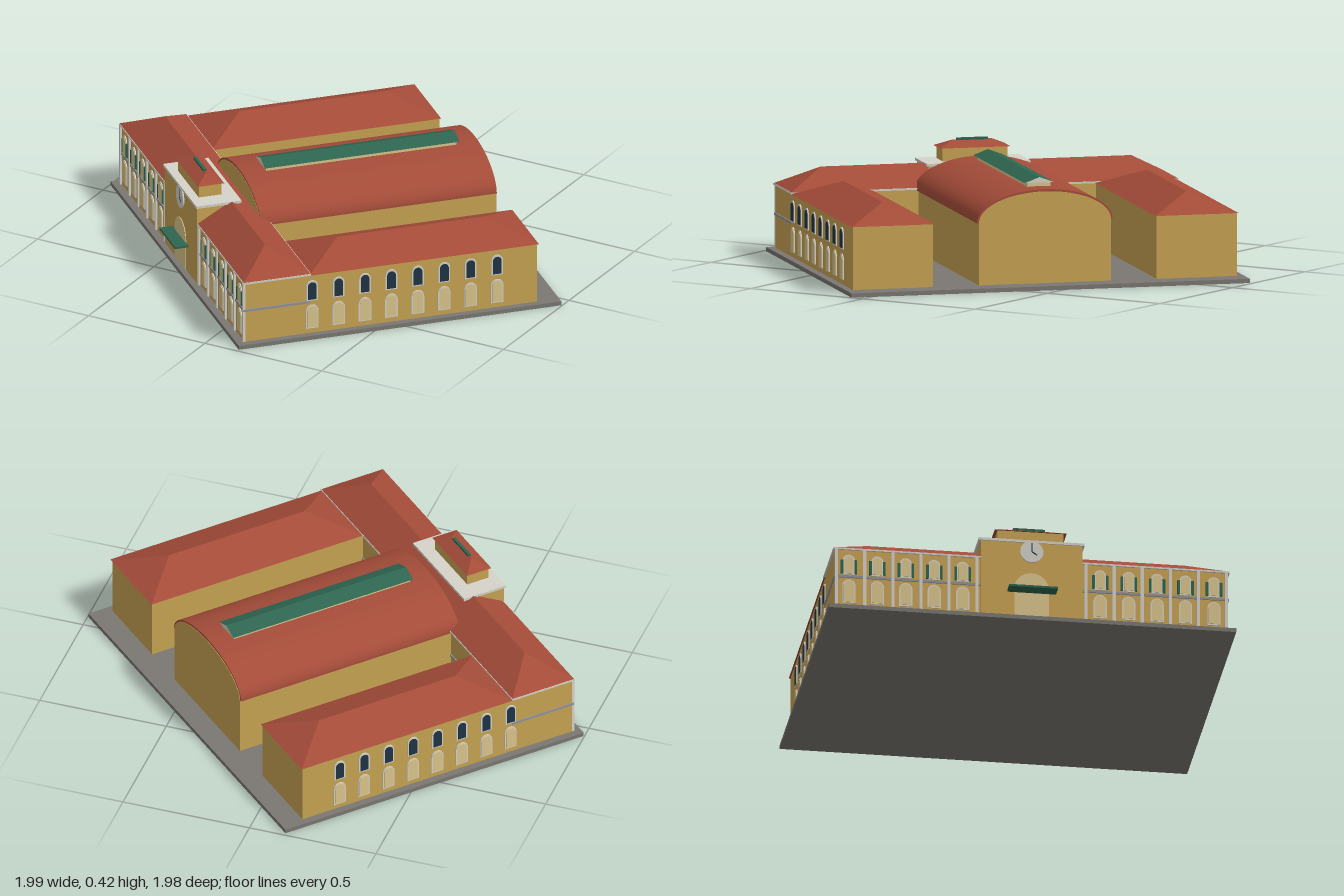
import * as THREE from 'three';

const mat = (name, color, side = THREE.FrontSide) => {
  const m = new THREE.MeshStandardMaterial({ color, side });
  m.name = name;
  return m;
};

export function createModel() {
  const M = {
    wall: mat('ochre wall', 0xc9a454),
    roof: mat('red tile', 0xa54c39),
    green: mat('green metal', 0x2e6650),
    paving: mat('grey paving', 0x7b7872),
    trim: mat('pale stone', 0xd6d3c9),
    cream: mat('cream panel', 0xdcc68c),
    glass: mat('dark glass', 0x1f3444),
    band: mat('grey band', 0x92939a),
  };
  const root = new THREE.Group();
  root.name = 'stationBuilding';
  const building = new THREE.Group();
  building.name = 'building';
  building.rotation.y = THREE.MathUtils.degToRad(-42.5); // stands diagonally on the axes
  root.add(building);

  const add = (name, geo, material, parent = building) => {
    const mesh = new THREE.Mesh(geo, material);
    mesh.name = name;
    parent.add(mesh);
    return mesh;
  };
  // box given by its min and max on each axis
  const box = (name, material, x0, x1, y0, y1, z0, z1, parent) => {
    const mesh = add(name, new THREE.BoxGeometry(x1 - x0, y1 - y0, z1 - z0), material, parent);
    mesh.position.set((x0 + x1) / 2, (y0 + y1) / 2, (z0 + z1) / 2);
    return mesh;
  };
  // hipped roof, ridge along x, half sizes w and d, half ridge r
  const hipGeo = (w, d, h, r) => {
    const p = [[-w, 0, -d], [w, 0, -d], [w, 0, d], [-w, 0, d], [-r, h, 0], [r, h, 0]];
    const faces = [3, 2, 5, 3, 5, 4, 2, 1, 5, 1, 0, 4, 1, 4, 5, 0, 3, 4, 0, 1, 2, 0, 2, 3];
    const g = new THREE.BufferGeometry();
    g.setAttribute('position', new THREE.Float32BufferAttribute(faces.flatMap((i) => p[i]), 3));
    g.computeVertexNormals();
    return g;
  };
  const hip = (name, w, d, h, r, x, y, z, turn = 0) => {
    const mesh = add(name, hipGeo(w, d, h, r), M.roof);
    mesh.position.set(x, y, z);
    mesh.rotation.y = turn;
    return mesh;
  };
  // flat plate with a round head, bottom at y = 0
  const archGeo = (w, h, depth) => {
    const s = new THREE.Shape();
    s.moveTo(-w, 0);
    s.lineTo(w, 0);
    s.lineTo(w, h - w);
    s.absarc(0, h - w, w, 0, Math.PI, false);
    s.closePath();
    return new THREE.ExtrudeGeometry(s, { depth, bevelEnabled: false, curveSegments: 6 });
  };

  // ground slab
  box('groundSlab', M.paving, -0.77, 0.77, 0, 0.016, -0.635, 0.635);

  // front range
  box('frontRangeWalls', M.wall, -0.742, 0.742, 0.016, 0.26, 0.35, 0.603);
  box('frontRangeCornice', M.trim, -0.749, 0.749, 0.254, 0.261, 0.343, 0.609);
  box('stringCourse', M.band, -0.746, 0.746, 0.14, 0.149, 0.346, 0.607);
  hip('frontRangeRoof', 0.747, 0.131, 0.075, 0.6, 0, 0.261, 0.476);

  // side wings
  for (const s of [-1, 1]) {
    const c = s * 0.587;
    box('wingWalls', M.wall, c - 0.155, c + 0.155, 0.016, 0.255, -0.548, 0.36);
    hip('wingRoof', 0.452, 0.161, 0.067, 0.29, c, 0.254, -0.102, Math.PI / 2);
  }

  // central hall with barrel roof
  const hallShape = new THREE.Shape();
  hallShape.moveTo(-0.255, 0.016);
  hallShape.lineTo(0.255, 0.016);
  hallShape.lineTo(0.255, 0.25);
  hallShape.absellipse(0, 0.25, 0.255, 0.112, 0, Math.PI, false);
  hallShape.closePath();
  add('hallWalls', new THREE.ExtrudeGeometry(hallShape, { depth: 0.932, bevelEnabled: false, curveSegments: 28 }), M.wall)
    .position.z = -0.549;
  const shell = new THREE.Shape();
  shell.moveTo(0.262, 0.25);
  shell.absellipse(0, 0.25, 0.262, 0.12, 0, Math.PI, false);
  shell.lineTo(-0.252, 0.25);
  shell.absellipse(0, 0.25, 0.252, 0.11, Math.PI, 0, true);
  shell.closePath();
  add('hallBarrelRoof', new THREE.ExtrudeGeometry(shell, { depth: 0.929, bevelEnabled: false, curveSegments: 28 }), M.roof)
    .position.z = -0.547;

  // ridge skylight on the hall
  box('skylightSides', M.cream, -0.045, 0.045, 0.355, 0.386, -0.46, 0.29);
  const gable = new THREE.Shape([
    new THREE.Vector2(-0.057, 0.384), new THREE.Vector2(0.057, 0.384), new THREE.Vector2(0, 0.405),
  ]);
  add('skylightRoof', new THREE.ExtrudeGeometry(gable, { depth: 0.766, bevelEnabled: false }), [M.trim, M.green])
    .position.z = -0.468;

  // entrance tower
  box('towerWalls', M.wall, -0.192, 0.192, 0.016, 0.327, 0.443, 0.611);
  box('towerCornice', M.trim, -0.2, 0.2, 0.326, 0.336, 0.437, 0.615);
  box('towerAttic', M.wall, -0.125, 0.125, 0.336, 0.386, 0.491, 0.581);
  hip('towerRoof', 0.136, 0.052, 0.026, 0.075, 0, 0.385, 0.536);
  box('towerRidgeVent', M.green, -0.06, 0.06, 0.4, 0.417, 0.53, 0.542);

  // entrance
  box('doorPanel', M.cream, -0.065, 0.065, 0.018, 0.118, 0.611, 0.614);
  const fan = add('fanlight', archGeo(0.066, 0.073, 0.003), M.cream);
  fan.position.set(0, 0.128, 0.611);
  box('canopy', M.green, -0.092, 0.092, 0.12, 0.128, 0.611, 0.664);

  // clock
  const face = add('clockFace', new THREE.CylinderGeometry(0.044, 0.044, 0.005, 28), M.trim);
  face.rotation.x = Math.PI / 2;
  face.position.set(0, 0.289, 0.6135);
  for (const [len, angle] of [[0.034, 0], [0.024, -2.2]]) {
    const hand = add('clockHand', new THREE.BoxGeometry(0.004, len, 0.002).translate(0, len / 2, 0), M.glass);
    hand.position.set(0, 0.289, 0.617);
    hand.rotation.z = angle;
  }

  // a round-headed window: surround with a pane in front
  const frameUp = archGeo(0.023, 0.082, 0.004);
  const paneUp = archGeo(0.017, 0.07, 0.003);
  const frameLow = archGeo(0.025, 0.096, 0.004);
  const paneLow = archGeo(0.02, 0.086, 0.003);
  const windowAt = (name, upper, pane, x, y, z, turn) => {
    const g = new THREE.Group();
    g.name = name;
    g.position.set(x, y, z);
    g.rotation.y = turn;
    add('surround', upper ? frameUp : frameLow, M.trim, g);
    add('pane', upper ? paneUp : paneLow, pane, g).position.set(0, 0.005, 0.003);
    building.add(g);
    return g;
  };

  for (const s of [-1, 1]) {
    // front windows, shutters and pilasters
    for (let i = 0; i < 5; i++) {
      const x = s * (0.26 + i * 0.1075);
      const w = windowAt('frontUpperWindow', true, M.cream, x, 0.152, 0.603, 0);
      for (const t of [-1, 1]) {
        box('shutter', M.green, t * 0.026 - 0.005, t * 0.026 + 0.005, 0.004, 0.06, 0, 0.006, w);
      }
      windowAt('frontLowerWindow', false, M.cream, x, 0.036, 0.603, 0);
    }
    for (let i = 0; i < 6; i++) {
      const x = s * (0.206 + i * 0.1062);
      box('pilaster', M.trim, x - 0.006, x + 0.006, 0.016, 0.255, 0.6, 0.61);
    }
    // outer side windows
    for (let i = 0; i < 8; i++) {
      const z = 0.338 - i * 0.104;
      windowAt('sideUpperWindow', true, M.glass, s * 0.742, 0.15, z, s * Math.PI / 2);
      windowAt('sideLowerWindow', false, M.cream, s * 0.742, 0.036, z, s * Math.PI / 2);
    }
  }
  return root;
}
